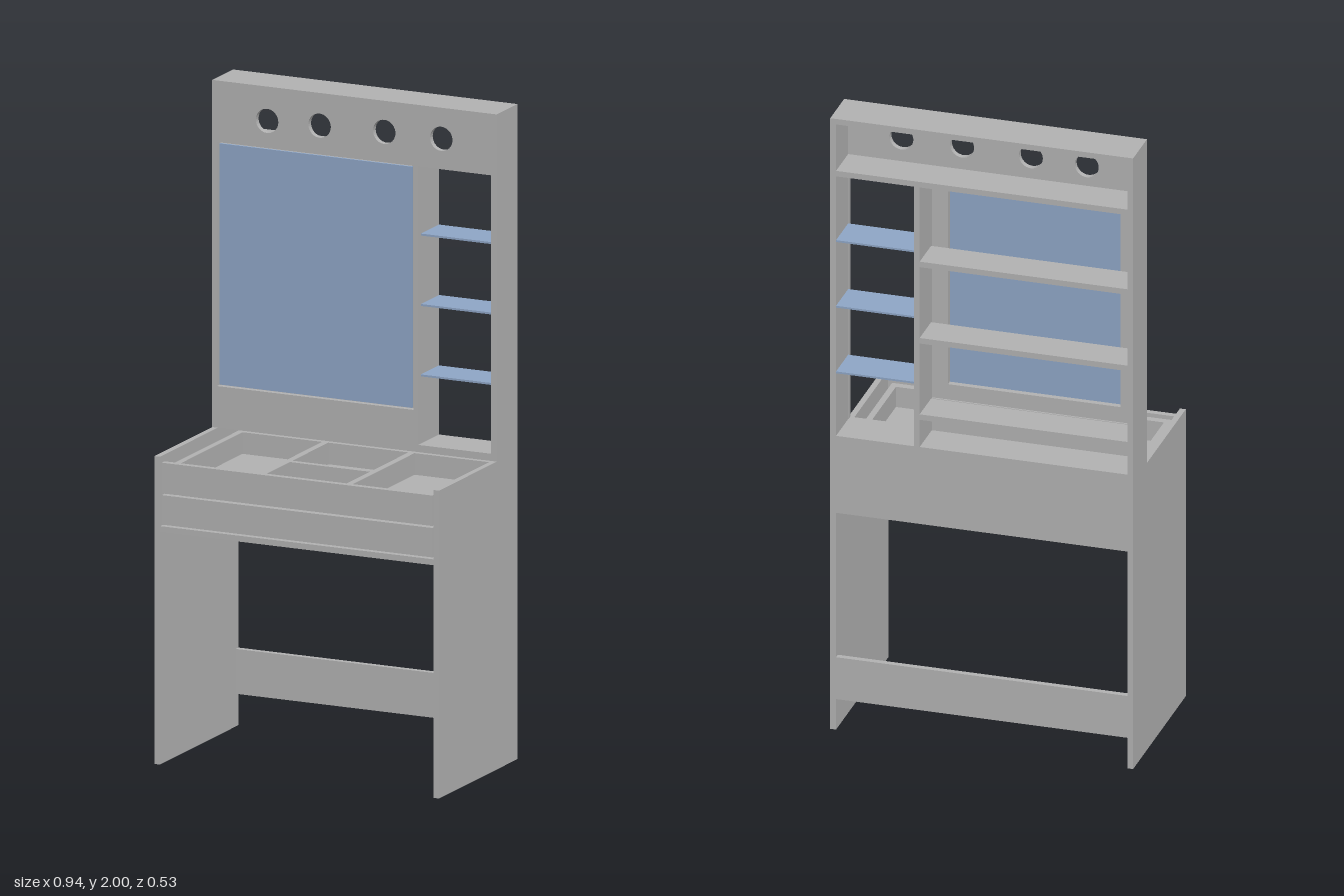
import * as THREE from 'three';

export function createModel() {
  const model = new THREE.Group();
  const board = new THREE.MeshStandardMaterial({ color: 0xb2b2b2 });
  board.name = 'grey board';
  const glass = new THREE.MeshStandardMaterial({ color: 0x8ea6c6 });
  glass.name = 'blue glass';

  const add = (name, geometry, material = board) => {
    const mesh = new THREE.Mesh(geometry, material);
    mesh.name = name;
    model.add(mesh);
    return mesh;
  };
  // Box given by its limits on each axis
  const box = (name, x0, x1, y0, y1, z0, z1, material) => {
    const mesh = add(name, new THREE.BoxGeometry(x1 - x0, y1 - y0, z1 - z0), material);
    mesh.position.set((x0 + x1) / 2, (y0 + y1) / 2, (z0 + z1) / 2);
    return mesh;
  };
  const rect = (Type, x0, x1, y0, y1) => new Type(
    [[x0, y0], [x1, y0], [x1, y1], [x0, y1]].map(([x, y]) => new THREE.Vector2(x, y)));
  const extrude = (shape, depth) =>
    new THREE.ExtrudeGeometry(shape, { depth, bevelEnabled: false, curveSegments: 16 });

  const W = 0.469, IN = 0.451;      // outer and inner half width
  const BACK = -0.263, FRONT = 0.263;
  const FACE = -0.124, FACE_BACK = -0.142;

  // Side panels: deep below, shallow above
  const side = new THREE.Shape([
    [-FRONT, 0], [-BACK, 0], [-BACK, 2], [-FACE_BACK, 2], [-FACE_BACK, 0.94], [-FRONT, 0.94],
  ].map(([x, y]) => new THREE.Vector2(x, y)));
  for (const [name, x] of [['leftSidePanel', IN], ['rightSidePanel', -W]]) {
    add(name, extrude(side, W - IN).rotateY(Math.PI / 2)).position.x = x;
  }

  // Upper face panel with mirror opening, shelf opening and lamp holes
  const face = rect(THREE.Shape, -W, W, 0.94, 2);
  face.holes.push(rect(THREE.Path, -0.453, 0.195, 1.067, 1.812));
  face.holes.push(rect(THREE.Path, 0.21, IN - 0.001, 0.962, 1.812));
  for (const [x, y] of [[-0.288, 1.895], [-0.115, 1.9], [0.098, 1.905], [0.286, 1.905]]) {
    face.holes.push(new THREE.Path().absarc(x, y, 0.037, 0, Math.PI * 2, true));
  }
  add('facePanel', extrude(face, FACE - FACE_BACK)).position.z = FACE_BACK;

  // Mirror and the frame behind it
  box('mirror', -0.445, 0.19, 1.073, 1.809, -0.13, -0.123, glass);
  const frame = rect(THREE.Shape, -0.445, 0.19, 1.073, 1.809);
  frame.holes.push(rect(THREE.Path, -0.395, 0.14, 1.123, 1.759));
  add('mirrorFrame', extrude(frame, 0.018)).position.z = -0.148;

  // Cabinet boards behind the face
  box('topBoard', -IN, IN, 1.982, 2, BACK, FACE_BACK);
  box('lampShelf', -IN, IN, 1.812, 1.83, BACK, FACE_BACK);
  box('cabinetFloor', -IN, IN, 0.944, 0.962, BACK, FACE_BACK);
  box('cabinetDivider', 0.192, 0.21, 0.962, 1.812, BACK, FACE_BACK);
  for (const y of [1.06, 1.31, 1.56]) {
    box('mirrorShelf', -IN, 0.192, y - 0.009, y + 0.009, BACK, -0.149);
  }
  for (const y of [1.17, 1.385, 1.6]) {
    box('glassShelf', 0.21, IN, y - 0.003, y + 0.003, BACK, FACE_BACK, glass);
  }

  // Desk back, rails and foot board
  box('deskBack', -IN, IN, 0.71, 0.944, BACK, BACK + 0.018);
  box('footBoard', -IN, IN, 0.1, 0.237, BACK, BACK + 0.018);
  box('frontRail', -IN, IN, 0.71, 0.728, 0.17, 0.262);
  box('backRail', -IN, IN, 0.71, 0.728, BACK + 0.018, -0.172);

  // Two drawers
  for (const [label, y0, y1] of [['lower', 0.733, 0.823], ['upper', 0.829, 0.922]]) {
    const top = y1 - 0.013, zb = -0.235;
    box(label + 'DrawerFront', -0.446, 0.446, y0, y1, 0.242, 0.261);
    box(label + 'DrawerBottom', -0.434, 0.434, y0 + 0.005, y0 + 0.014, zb, 0.242);
    for (const s of [-1, 1]) {
      box(label + 'DrawerSide', s * 0.4245 - 0.0095, s * 0.4245 + 0.0095, y0 + 0.014, top, zb, 0.242);
    }
    box(label + 'DrawerInnerFront', -0.415, 0.415, y0 + 0.014, top, 0.219, 0.242);
    box(label + 'DrawerBack', -0.415, 0.415, y0 + 0.014, top, zb, zb + 0.018);
  }

  // Compartment dividers in the upper drawer
  for (const x of [-0.142, 0.142]) {
    box('trayDivider', x - 0.01, x + 0.01, 0.843, 0.909, -0.217, 0.219);
  }
  box('trayCrossDivider', -0.132, 0.132, 0.843, 0.909, 0.023, 0.041);

  return model;
}
